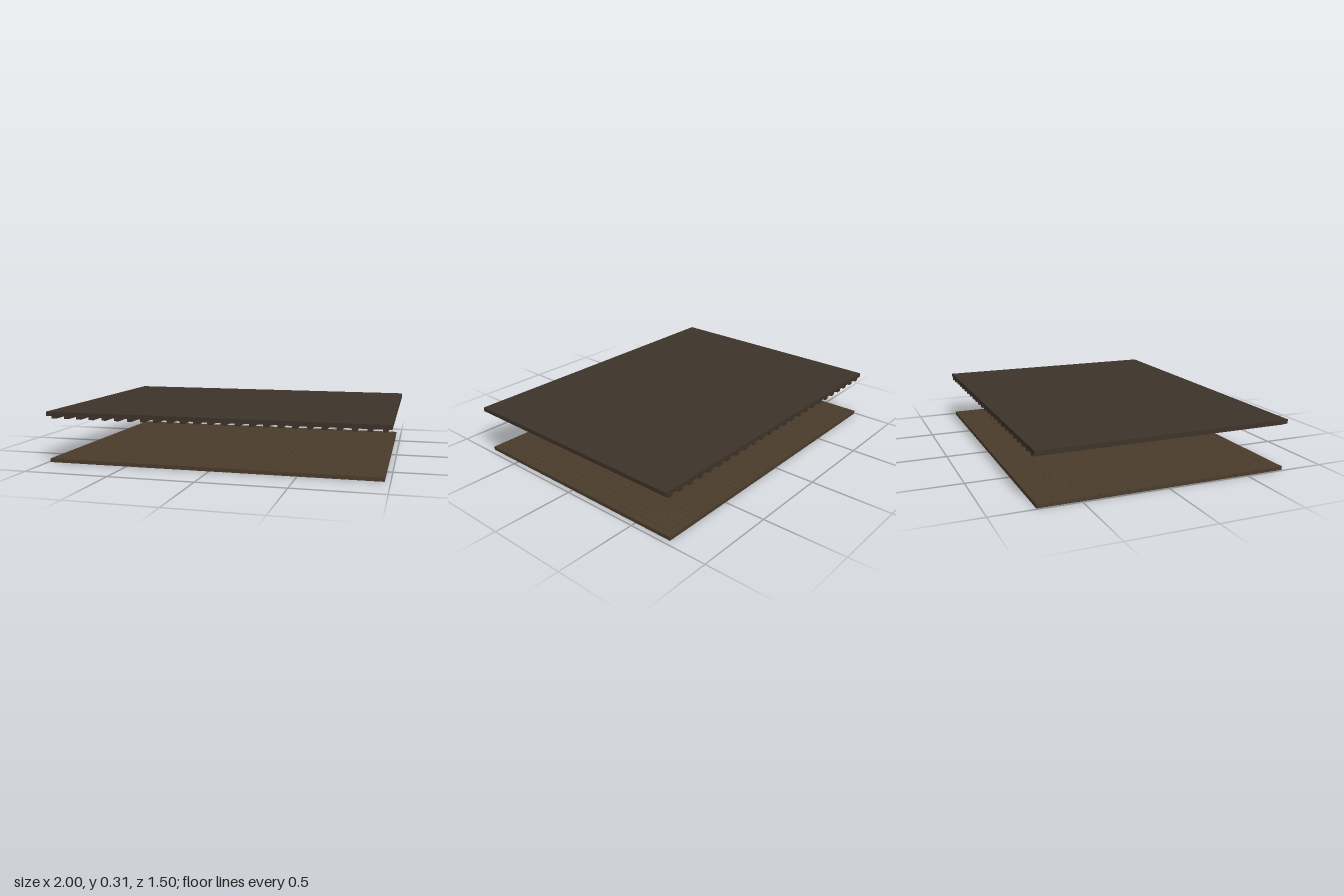
import * as THREE from 'three';
import { mergeGeometries } from 'three/addons/utils/BufferGeometryUtils.js';

// Box given by its minimum and maximum corners
function span(x0, x1, y0, y1, z0, z1) {
  const g = new THREE.BoxGeometry(x1 - x0, y1 - y0, z1 - z0);
  return g.translate((x0 + x1) / 2, (y0 + y1) / 2, (z0 + z1) / 2);
}

function part(name, geometry, color) {
  const mesh = new THREE.Mesh(geometry, new THREE.MeshStandardMaterial({ color }));
  mesh.name = name;
  return mesh;
}

// Narrow boards along z, with end joints staggered from row to row
function floorPlanks() {
  const boards = [];
  const rows = 49, x0 = -0.99, width = 1.96 / rows;
  const back = -0.745, front = 0.74, length = 0.164, gap = 0.0015;
  for (let i = 0; i < rows; i++) {
    const x = x0 + i * width;
    const firstJoint = -0.56 - (i % 2 ? length / 2 : 0);
    let z = back;
    for (let joint = firstJoint; z < front; joint += length) {
      const end = joint > front - 0.05 ? front : joint;
      boards.push(span(x, x + width - gap, 0, 0.022, z, end === front ? front : end - gap));
      z = end;
    }
  }
  return mergeGeometries(boards);
}

// Evenly spaced beams under the ceiling
function ceilingBeams() {
  const beams = [];
  for (let i = 0; i < 25; i++) {
    const x = -0.95 + i * 0.0798;
    beams.push(span(x - 0.014, x + 0.014, 0.265, 0.281, -0.75, 0.75));
  }
  return mergeGeometries(beams);
}

export function createModel() {
  const model = new THREE.Group();
  model.name = 'floorAndCeiling';
  model.add(
    part('floorPlanks', floorPlanks(), 0x4a3c2b),
    part('ceilingBeams', ceilingBeams(), 0x3d3329),
    part('ceilingPanel', span(-1, 1, 0.28, 0.305, -0.75, 0.75), 0x3d3329)
  );
  return model;
}
